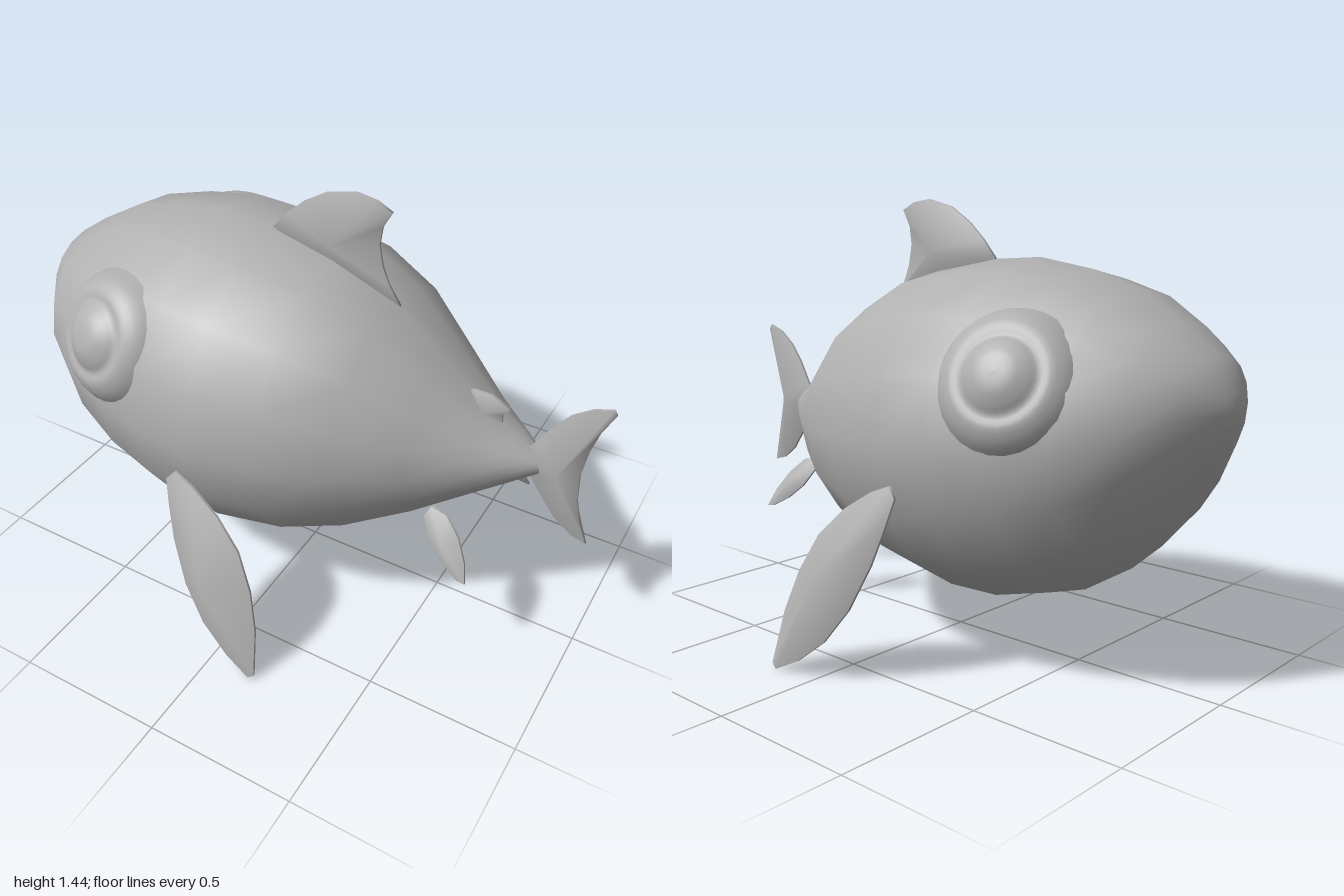
import * as THREE from 'three';

const skin = new THREE.MeshStandardMaterial({ color: 0xb0b0b0 });
skin.name = 'greySkin';
const SIDES = 16;

function makeGeometry(pos, idx) {
  const g = new THREE.BufferGeometry();
  g.setAttribute('position', new THREE.Float32BufferAttribute(pos, 3));
  g.setIndex(idx);
  g.computeVertexNormals();
  return g;
}

// Body: elliptical rings [x, bottom, top, half width] joined from nose to tail
function bodyGeometry() {
  const rings = [
    [-1, 0.8, 0.91, 0.07], [-0.95, 0.7, 1.01, 0.18], [-0.84, 0.51, 1.09, 0.33],
    [-0.69, 0.345, 1.18, 0.43], [-0.52, 0.24, 1.23, 0.49], [-0.33, 0.19, 1.26, 0.535],
    [-0.15, 0.187, 1.25, 0.55], [0.08, 0.225, 1.21, 0.51], [0.28, 0.31, 1.11, 0.43],
    [0.47, 0.425, 0.95, 0.295], [0.61, 0.53, 0.83, 0.19], [0.72, 0.605, 0.765, 0.105],
    [0.79, 0.65, 0.725, 0.045], [0.82, 0.67, 0.7, 0.018],
  ];
  const pos = [], idx = [];
  for (const [x, lo, hi, w] of rings) {
    for (let j = 0; j < SIDES; j++) {
      const a = (j / SIDES) * Math.PI * 2;
      pos.push(x, (lo + hi) / 2 + ((hi - lo) / 2) * Math.cos(a), w * Math.sin(a));
    }
  }
  const last = (rings.length - 1) * SIDES, nose = rings.length * SIDES;
  pos.push(-1, 0.855, 0, 0.825, 0.685, 0);
  for (let j = 0; j < SIDES; j++) {
    const k = (j + 1) % SIDES;
    for (let r = 0; r < last; r += SIDES) {
      idx.push(r + j, r + k, r + SIDES + j, r + k, r + SIDES + k, r + SIDES + j);
    }
    idx.push(nose, k, j, nose + 1, last + j, last + k);
  }
  return makeGeometry(pos, idx);
}

// Fin: outline in x, y rising to a ridge point on both sides; zAt leans it outward
function finGeometry(outline, [cx, cy], half, zAt = () => 0) {
  const pts = outline.map(([x, y]) => new THREE.Vector2(x, y));
  if (THREE.ShapeUtils.isClockWise(pts)) pts.reverse();
  const n = pts.length, pos = [], idx = [];
  for (const s of [1, -1]) {
    const c = pos.length / 3;
    pos.push(cx, cy, zAt(cy) + s * half);
    for (const p of pts) pos.push(p.x, p.y, zAt(p.y) + s * 0.004);
    for (let i = 0; i < n; i++) {
      const a = c + 1 + i, b = c + 1 + ((i + 1) % n);
      if (s > 0) idx.push(c, a, b);
      else idx.push(c, b, a);
    }
  }
  // thin rim, with its own vertices so the edge stays sharp
  const r = pos.length / 3;
  for (const p of pts) pos.push(p.x, p.y, zAt(p.y) + 0.004, p.x, p.y, zAt(p.y) - 0.004);
  for (let i = 0; i < n; i++) {
    const a = r + i * 2, b = r + ((i + 1) % n) * 2;
    idx.push(a, a + 1, b, b, a + 1, b + 1);
  }
  return makeGeometry(pos, idx);
}

export function createModel() {
  const fish = new THREE.Group();
  fish.name = 'fish';
  const add = (name, geometry, parent = fish) => {
    const m = new THREE.Mesh(geometry, skin);
    m.name = name;
    parent.add(m);
    return m;
  };
  add('body', bodyGeometry());

  // Fins on the centre line
  add('dorsalFin', finGeometry([
    [-0.16, 1.24], [-0.1, 1.31], [-0.04, 1.365], [0.04, 1.415], [0.14, 1.44], [0.21, 1.43],
    [0.26, 1.405], [0.23, 1.35], [0.222, 1.29], [0.235, 1.22], [0.26, 1.16], [0.3, 1.1], [0.1, 1.15],
  ], [0.08, 1.27], 0.06));
  add('smallDorsalFin', finGeometry([
    [0.53, 0.86], [0.56, 0.884], [0.62, 0.885], [0.685, 0.855], [0.662, 0.825],
    [0.665, 0.79], [0.68, 0.765], [0.58, 0.8],
  ], [0.61, 0.83], 0.032));
  add('tailFin', finGeometry([
    [0.73, 0.7], [0.78, 0.77], [0.82, 0.84], [0.87, 0.905], [0.93, 0.95], [0.99, 0.972],
    [1, 0.955], [0.965, 0.88], [0.94, 0.79], [0.927, 0.7], [0.932, 0.6], [0.95, 0.52],
    [0.982, 0.44], [0.93, 0.455], [0.87, 0.5], [0.81, 0.58], [0.77, 0.64],
  ], [0.865, 0.7], 0.053));

  // Paired fins and eyes
  const pectoral = finGeometry([
    [-0.23, 0.58], [-0.2, 0.613], [-0.13, 0.585], [-0.03, 0.52], [0.06, 0.43], [0.12, 0.31],
    [0.155, 0.18], [0.17, 0.02], [0.15, 0.004], [0.06, 0.05], [-0.04, 0.13], [-0.12, 0.24],
    [-0.18, 0.38], [-0.21, 0.49],
  ], [-0.03, 0.33], 0.08, (y) => 0.53 + (0.61 - y) * 0.255);
  const pelvic = finGeometry([
    [0.515, 0.5], [0.53, 0.533], [0.585, 0.525], [0.64, 0.475], [0.68, 0.41], [0.698, 0.352],
    [0.67, 0.355], [0.605, 0.39], [0.55, 0.44],
  ], [0.605, 0.45], 0.035, (y) => 0.185 + (0.53 - y) * 0.48);
  const eyeProfile = new THREE.SplineCurve([
    [0.22, -0.065], [0.19, -0.018], [0.15, 0.012], [0.115, 0.014], [0.09, 0.032], [0.05, 0.052], [0, 0.057],
  ].map(([x, y]) => new THREE.Vector2(x, y))).getPoints(18);
  eyeProfile[eyeProfile.length - 1].x = 0;
  const eye = new THREE.LatheGeometry(eyeProfile, 28);
  const outward = new THREE.Vector3(-0.28, 0.4, 0.88).normalize();

  for (const [side, s] of [['right', 1], ['left', -1]]) {
    const half = new THREE.Group();
    half.name = side + 'Side';
    half.scale.z = s;
    fish.add(half);
    add(side + 'PectoralFin', pectoral, half);
    add(side + 'PelvicFin', pelvic, half);
    const e = add(side + 'Eye', eye, half);
    e.position.set(-0.54, 0.955, 0.44);
    e.quaternion.setFromUnitVectors(new THREE.Vector3(0, 1, 0), outward);
  }
  return fish;
}
